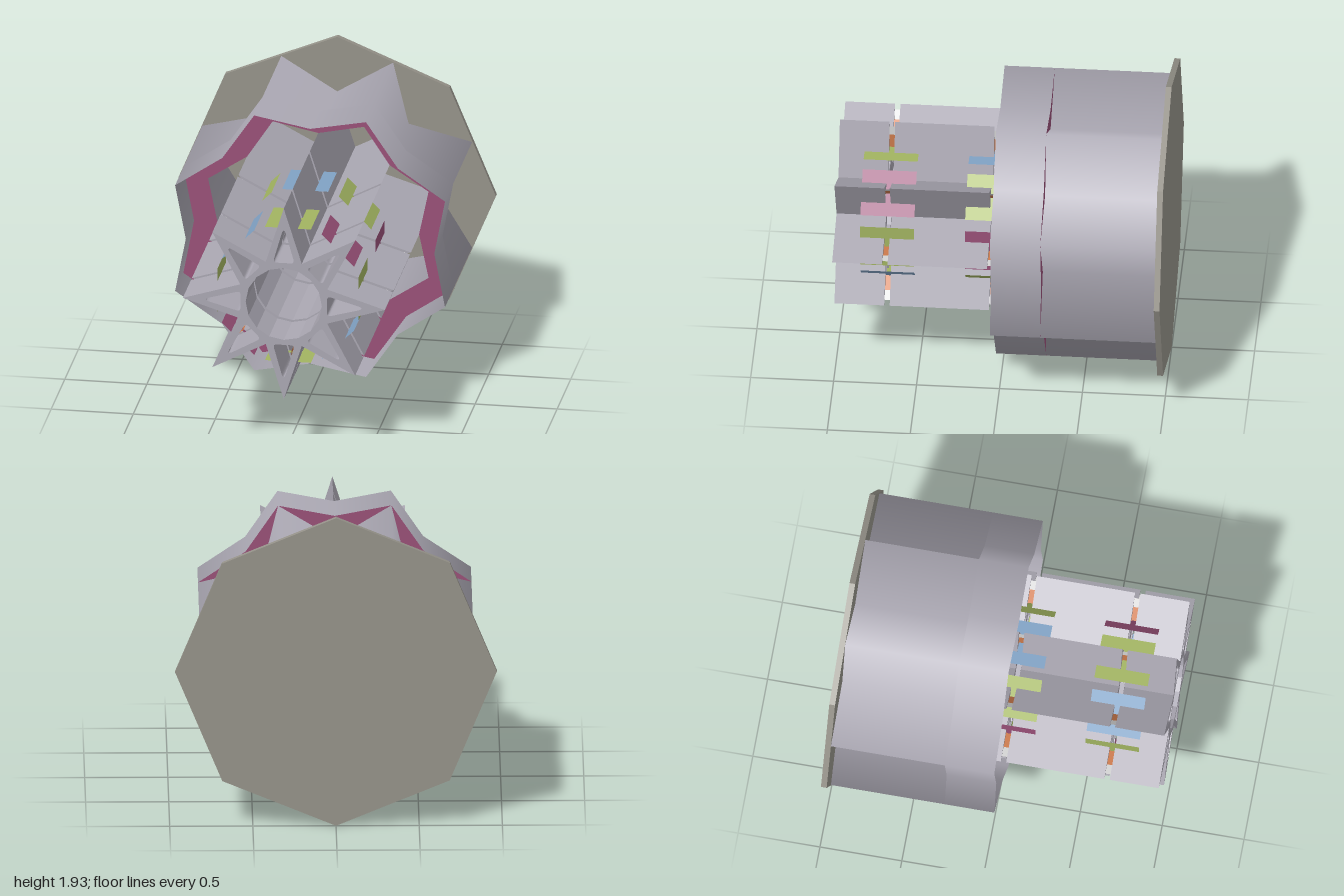
import * as THREE from 'three';

const CY = 0.967;                 // height of the long axis
const STEP = Math.PI / 8;

const paint = (name, color, side = THREE.FrontSide) => {
  const m = new THREE.MeshStandardMaterial({ color, side });
  m.name = name;
  return m;
};

// Points of a ring whose radius alternates between spokes (45 degrees) and the gaps between them
function ringPoints(rSpoke, rGap) {
  const pts = [];
  for (let i = 0; i < 16; i++) {
    const r = i % 2 ? rGap : rSpoke;
    pts.push(new THREE.Vector2(r * Math.cos(i * STEP), r * Math.sin(i * STEP)));
  }
  return pts;
}

// Open star-shaped tube with smooth radial normals
function starTube(rSpoke, rGap, z0, z1) {
  const g = new THREE.CylinderGeometry(1, 1, z1 - z0, 16, 1, true);
  g.rotateX(Math.PI / 2);
  g.translate(0, 0, (z0 + z1) / 2);
  const p = g.attributes.position;
  for (let i = 0; i < p.count; i++) {
    const k = Math.round(Math.atan2(p.getY(i), p.getX(i)) / STEP);
    const r = k % 2 ? rGap : rSpoke;
    p.setXY(i, p.getX(i) * r, p.getY(i) * r);
  }
  return g;
}

// Rounded triangular opening in one spike
function spikeHole(angle) {
  const c = [[0.5, 0], [0.264, 0.066], [0.264, -0.066]]
    .map(([x, y]) => new THREE.Vector2(x, y).rotateAround(new THREE.Vector2(), angle));
  const hole = new THREE.Path();
  c.forEach((v, i) => {
    const prev = c[(i + 2) % 3], next = c[(i + 1) % 3];
    const cut = (to) => v.clone().add(to.clone().sub(v).setLength(i ? 0.025 : 0.055));
    const a = cut(prev), b = cut(next);
    if (i === 0) hole.moveTo(a.x, a.y); else hole.lineTo(a.x, a.y);
    hole.quadraticCurveTo(v.x, v.y, b.x, b.y);
  });
  hole.closePath();
  return hole;
}

// Eight-spiked star section with bore and spike openings
function starSection(z0, z1) {
  const shape = new THREE.Shape(ringPoints(0.615, 0.287));
  shape.holes.push(new THREE.Path().absarc(0, 0, 0.232, 0, Math.PI * 2, true));
  for (let i = 0; i < 8; i++) shape.holes.push(spikeHole(i * Math.PI / 4));
  const g = new THREE.ExtrudeGeometry(shape, { depth: z1 - z0, bevelEnabled: false, curveSegments: 8 });
  g.translate(0, 0, z0);
  return g;
}

// Flat H outline: two flanges joined by a bar that passes through the joint
function clipGeometry() {
  const w = 0.14, f = 0.06, h = 0.163, b = 0.016;
  const s = new THREE.Shape([
    [-w, -h], [-f, -h], [-f, -b], [f, -b], [f, -h], [w, -h],
    [w, h], [f, h], [f, b], [-f, b], [-f, h], [-w, h],
  ].map(([x, y]) => new THREE.Vector2(x, y)));
  const g = new THREE.ShapeGeometry(s);
  g.rotateX(Math.PI / 2);         // long side along the axis, facing outward
  return g;
}

export function createModel() {
  const D = THREE.DoubleSide;
  const grey = paint('grey shell', 0xaaa7b2, D);
  const stone = paint('stone plate', 0x96938a);
  const magenta = paint('magenta', 0x995078, D);
  const green = paint('green', 0xa2b461, D);
  const blue = paint('blue', 0x80a2c4, D);
  const orange = paint('orange', 0xcc7a4c, D);
  const pale = paint('pale grey', 0xd4d4d4, D);

  const root = new THREE.Group();
  root.name = 'module';
  const body = new THREE.Group();
  body.name = 'body';
  body.position.y = CY;
  root.add(body);
  const add = (name, geo, mat, parent = body) => {
    const m = new THREE.Mesh(geo, mat);
    m.name = name;
    parent.add(m);
    return m;
  };

  // Octagonal end plate
  const octagon = ringPoints(CY, CY).filter((_, i) => i % 2 === 0);
  const plate = new THREE.ExtrudeGeometry(new THREE.Shape(octagon), { depth: 0.035, bevelEnabled: false });
  plate.translate(0, 0, -1);
  add('endPlate', plate, stone);

  // Shell: deep-grooved rear, shallower front collar, flat ring between them
  add('rearShell', starTube(0.615, 0.89, -0.965, -0.27), grey);
  add('frontCollar', starTube(0.757, 0.89, -0.27, 0.033), grey);
  const ring = new THREE.Shape(ringPoints(0.757, 0.89));
  ring.holes.push(new THREE.Path(ringPoints(0.614, 0.727).reverse()));
  const ringGeo = new THREE.ShapeGeometry(ring);
  ringGeo.translate(0, 0, -0.27);
  add('shellRing', ringGeo, magenta);

  // Star core in three sections with narrow joints
  [[0.7, 1], [0.068, 0.667], [-0.965, 0.035]].forEach(([z0, z1], i) =>
    add('starSection' + (i + 1), starSection(z0, z1), grey));

  // Clips and pins at both joints, one set per spike
  const clip = clipGeometry();
  const pin = new THREE.PlaneGeometry(0.11, 0.08).rotateX(Math.PI / 2);
  const pinEnd = new THREE.PlaneGeometry(0.06, 0.08).rotateX(Math.PI / 2);
  const joints = [
    { z: 0.6835, colors: [green, magenta, green, blue] },
    { z: 0.0515, colors: [magenta, green, blue, green] },
  ];
  joints.forEach(({ z, colors }, j) => {
    for (let i = 0; i < 8; i++) {
      const spoke = new THREE.Group();
      spoke.name = `joint${j + 1}Spoke${i + 1}`;
      spoke.rotation.z = i * Math.PI / 4;
      spoke.position.z = z;
      body.add(spoke);
      const c = add('clip', clip, colors[i % 4], spoke);
      c.position.x = 0.43;
      c.rotation.z = -Math.PI / 2;
      add('pin', pin, orange, spoke).position.x = 0.465;
      add('pinEnd', pinEnd, pale, spoke).position.x = 0.55;
      // Pins lie in the plane through the axis
    }
  });
  return root;
}
